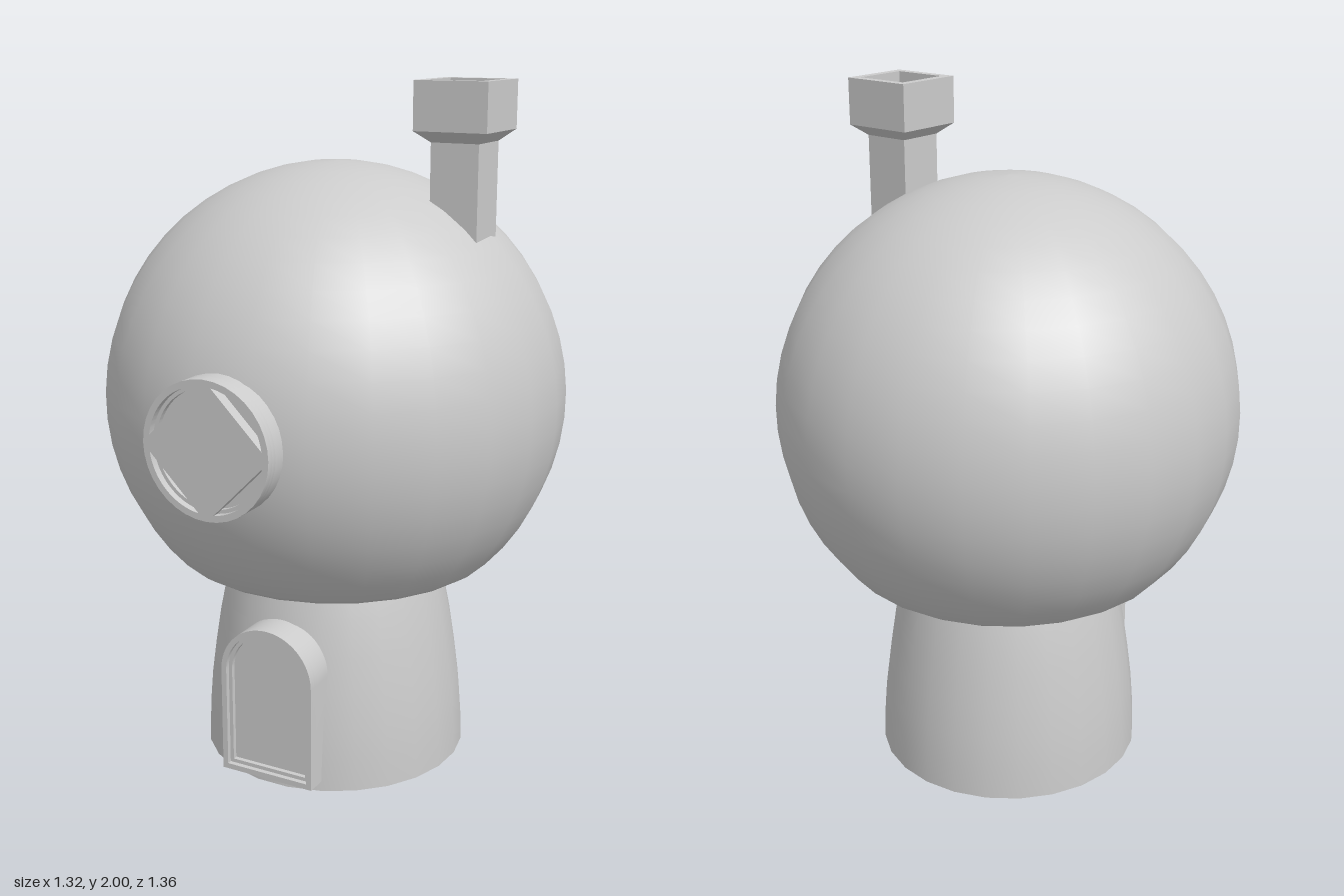
import * as THREE from 'three';
import { toCreasedNormals } from 'three/addons/utils/BufferGeometryUtils.js';

const material = new THREE.MeshStandardMaterial({ color: 0xcccccc });
const CENTRE_Z = -0.02;

function add(parent, name, geometry, x = 0, y = 0, z = 0) {
  const mesh = new THREE.Mesh(geometry, material);
  mesh.name = name;
  mesh.position.set(x, y, z);
  parent.add(mesh);
  return mesh;
}

// Turned body from [radius, height] pairs, listed bottom to top
function turned(points, segments = 25) {
  return new THREE.LatheGeometry(points.map(([r, y]) => new THREE.Vector2(r, y)), segments, Math.PI);
}

// Plate facing +z, from z0 to z1
function plate(shape, z0, z1) {
  const g = new THREE.ExtrudeGeometry(shape, { depth: z1 - z0, bevelEnabled: false, curveSegments: 18 });
  return toCreasedNormals(g.translate(0, 0, z0), 0.6);
}

function disc(radius) {
  return new THREE.Shape().absarc(0, 0, radius, 0, Math.PI * 2, false);
}

// Quarter-round opening whose straight sides lie at distance gap from the axes
function quarterHole(radius, gap, turn) {
  const a = Math.asin(gap / radius);
  const path = new THREE.Path();
  path.moveTo(gap * (Math.cos(turn) - Math.sin(turn)), gap * (Math.sin(turn) + Math.cos(turn)));
  path.absarc(0, 0, radius, turn + a, turn + Math.PI / 2 - a, false);
  path.closePath();
  return path;
}

// Round-topped door outline with an even inset
function archShape(inset) {
  const r = 0.145 - inset, bottom = 0.065 + inset, spring = 0.375;
  const s = new THREE.Shape();
  s.moveTo(-r, bottom);
  s.lineTo(r, bottom);
  s.lineTo(r, spring);
  s.absarc(0, spring, r, 0, Math.PI, false);
  s.closePath();
  return s;
}

function windowFrame(radius, holeRadius, gap) {
  const s = disc(radius);
  for (let i = 0; i < 4; i++) s.holes.push(quarterHole(holeRadius, gap, i * Math.PI / 2));
  return s;
}

function doorFrame(outer, inner) {
  const s = archShape(outer);
  s.holes.push(archShape(inner));
  return s;
}

export function createModel() {
  const model = new THREE.Group();
  model.name = 'mushroomHouse';

  // Stem with a shallow pointed underside
  add(model, 'stemBase', turned([[0, 0], [0.385, 0.035]]), 0, 0, CENTRE_Z);
  add(model, 'stem', turned([[0.389, 0.035], [0.386, 0.12], [0.378, 0.22], [0.365, 0.32],
    [0.348, 0.43], [0.326, 0.54], [0.3, 0.64], [0.27, 0.74]]), 0, 0, CENTRE_Z);

  // Round cap, its rim rolling inward underneath
  const profile = [[0.26, 0.73], [0.3, 0.68], [0.35, 0.643], [0.4, 0.63], [0.44, 0.632]];
  const rows = 20, start = -0.78;
  for (let i = 0; i <= rows; i++) {
    const a = start + (Math.PI / 2 - start) * i / rows;
    profile.push([Math.max(0, 0.66 * Math.cos(a)), 1.115 + 0.66 * Math.sin(a)]);
  }
  add(model, 'cap', turned(profile), 0, 0, CENTRE_Z);

  // Round window with crossed bars
  const roundWindow = new THREE.Group();
  roundWindow.name = 'window';
  roundWindow.position.y = 1.115;
  model.add(roundWindow);
  add(roundWindow, 'windowPane', plate(disc(0.185), 0.5, 0.645));
  add(roundWindow, 'windowInnerFrame', plate(windowFrame(0.185, 0.157, 0.031), 0.645, 0.66));
  add(roundWindow, 'windowOuterFrame', plate(windowFrame(0.185, 0.167, 0.022), 0.66, 0.68));

  // Arched door
  const door = new THREE.Group();
  door.name = 'door';
  model.add(door);
  add(door, 'doorPanel', plate(archShape(0), 0.25, 0.373));
  add(door, 'doorInnerFrame', plate(doorFrame(0, 0.027), 0.373, 0.386));
  add(door, 'doorOuterFrame', plate(doorFrame(0, 0.016), 0.386, 0.4));

  // Square chimney, flared into a hollow pot
  const k = Math.SQRT2;
  const chimney = turned([[0.068, 1.45], [0.068, 1.84], [0.104, 1.87], [0.104, 2], [0.079, 2],
    [0.079, 1.91], [0, 1.91]].map(([r, y]) => [r * k, y]), 4).rotateY(Math.PI / 4).toNonIndexed();
  chimney.computeVertexNormals();
  add(model, 'chimney', chimney, 0.387, 0, -0.017);

  return model;
}
